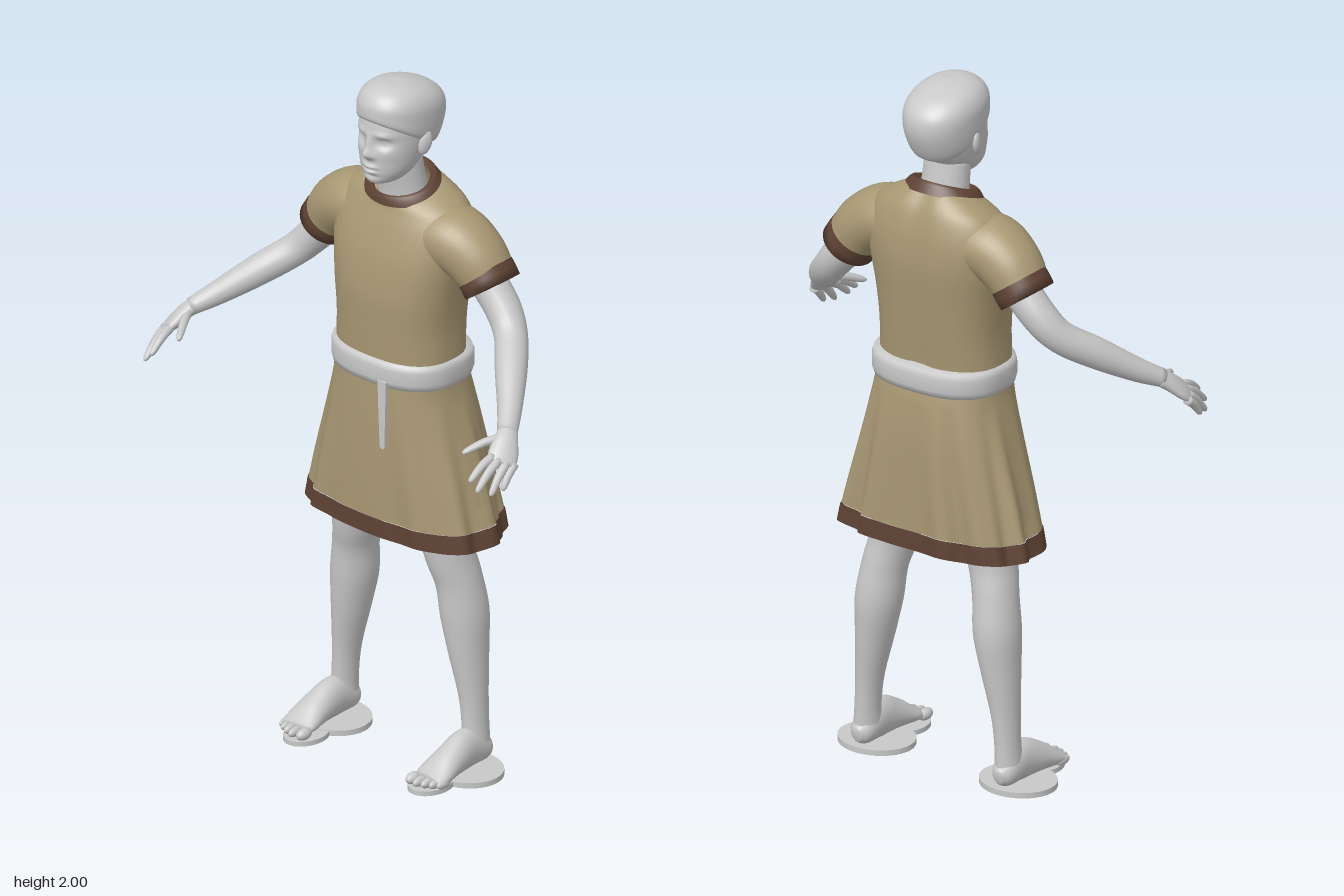
import * as THREE from 'three';

const mat = (name, color, side = THREE.FrontSide) => {
  const m = new THREE.MeshStandardMaterial({ color, side });
  m.name = name;
  return m;
};

// Smooth interpolation through rows of numbers
function smoothRows(rows, steps) {
  const out = [], n = rows.length - 1;
  for (let i = 0; i < n; i++) {
    for (let s = 0; s < steps; s++) {
      const t = s / steps;
      out.push(rows[i].map((b, q) => {
        const c = rows[i + 1][q];
        const a = i > 0 ? rows[i - 1][q] : 2 * b - c;
        const d = i + 2 <= n ? rows[i + 2][q] : 2 * c - b;
        return 0.5 * (2 * b + (c - a) * t + (2 * a - 5 * b + 4 * c - d) * t * t
          + (3 * b - a - 3 * c + d) * t * t * t);
      }));
    }
  }
  out.push(rows[n]);
  return out;
}

// Skin a list of closed rings (arrays of Vector3), optionally capped
function skin(rings, caps) {
  const n = rings[0].length, pos = [], idx = [];
  rings.forEach(r => r.forEach(p => pos.push(p.x, p.y, p.z)));
  for (let i = 0; i < rings.length - 1; i++) {
    for (let j = 0; j < n; j++) {
      const a = i * n + j, b = i * n + (j + 1) % n;
      idx.push(a, b, a + n, b, b + n, a + n);
    }
  }
  if (caps) {
    [0, rings.length - 1].forEach((i, end) => {
      const c = new THREE.Vector3();
      rings[i].forEach(p => c.addScaledVector(p, 1 / n));
      const k = pos.length / 3;
      pos.push(c.x, c.y, c.z);
      for (let j = 0; j < n; j++) {
        const a = i * n + j, b = i * n + (j + 1) % n;
        if (end) idx.push(a, b, k); else idx.push(b, a, k);
      }
    });
  }
  const g = new THREE.BufferGeometry();
  g.setAttribute('position', new THREE.Float32BufferAttribute(pos, 3));
  g.setIndex(idx);
  g.computeVertexNormals();
  return g;
}

const power = (v, e) => Math.sign(v) * Math.pow(Math.abs(v), 2 / e);

// Upright form; rows: [y, zFront, zBack, halfWidth, squareness, frontLift]
function stack(rows, { n = 56, steps = 5, caps = false, warp } = {}) {
  return skin(smoothRows(rows, steps).map(([y, zf, zb, w, e, k]) =>
    Array.from({ length: n }, (_, j) => {
      const a = j / n * Math.PI * 2, c = power(Math.cos(a), e);
      const p = new THREE.Vector3(w * power(Math.sin(a), e), y + k * c, (zf + zb) / 2 + (zf - zb) / 2 * c);
      if (warp) warp(p, a);
      return p;
    })), caps);
}

// Limb along a path; rows: [x, y, z, radiusAlongRef, otherRadius]
function limb(rows, ref, { n = 20, steps = 5, caps = true } = {}) {
  const pts = smoothRows(rows, steps), P = pts.map(r => new THREE.Vector3(r[0], r[1], r[2]));
  const R = new THREE.Vector3(...ref);
  return skin(pts.map((r, i) => {
    const t = P[Math.min(i + 1, P.length - 1)].clone().sub(P[Math.max(i - 1, 0)]).normalize();
    const u = R.clone().addScaledVector(t, -R.dot(t)).normalize();
    const v = t.clone().cross(u);
    return Array.from({ length: n }, (_, j) => {
      const a = j / n * Math.PI * 2;
      return P[i].clone().addScaledVector(u, r[3] * Math.cos(a)).addScaledVector(v, r[4] * Math.sin(a));
    });
  }), caps);
}

function ellipsoid(x, y, z, rx, ry, rz) {
  return new THREE.SphereGeometry(1, 20, 14).scale(rx, ry, rz).translate(x, y, z);
}

function mirrored(g) {
  const m = g.clone().scale(-1, 1, 1), ix = m.index.array;
  for (let i = 0; i < ix.length; i += 3) [ix[i], ix[i + 1]] = [ix[i + 1], ix[i]];
  m.computeVertexNormals();
  return m;
}

export function createModel() {
  const group = new THREE.Group();
  const grey = mat('pale grey', 0xc8c8c8);
  const cloth = mat('tan cloth', 0xa89873, THREE.DoubleSide);
  const trim = mat('brown trim', 0x5e4234, THREE.DoubleSide);
  const add = (name, g, m = grey) => {
    const mesh = new THREE.Mesh(g, m);
    mesh.name = name;
    group.add(mesh);
  };
  const pair = (name, g, m) => {
    add(name + 'Left', g, m);
    add(name + 'Right', mirrored(g), m);
  };

  // Face relief: [|x|, y, depth, spreadX, spreadY]
  const relief = [
    [0, 1.818, 0.022, 0.013, 0.015], [0, 1.845, 0.012, 0.01, 0.025], [0.015, 1.812, 0.006, 0.008, 0.008],
    [0.04, 1.85, -0.014, 0.02, 0.013], [0.04, 1.85, 0.006, 0.012, 0.006], [0.038, 1.874, 0.006, 0.026, 0.008],
    [0, 1.779, 0.009, 0.024, 0.006], [0, 1.764, 0.009, 0.02, 0.006], [0, 1.7715, -0.005, 0.026, 0.003],
    [0, 1.75, -0.005, 0.025, 0.006], [0.05, 1.82, 0.004, 0.02, 0.02],
  ];
  add('head', stack([
    [1.718, 0.005, -0.07, 0.02, 2, 0], [1.73, 0.028, -0.1, 0.045, 2, 0], [1.76, 0.034, -0.13, 0.069, 2.1, 0],
    [1.80, 0.034, -0.165, 0.082, 2.2, 0], [1.85, 0.032, -0.19, 0.09, 2.2, 0], [1.90, 0.028, -0.2, 0.091, 2.2, 0],
    [1.94, 0.012, -0.19, 0.08, 2.1, 0], [1.965, -0.02, -0.16, 0.05, 2, 0],
  ], {
    n: 128, steps: 9, caps: true, warp: p => {
      if (p.z < -0.04) return;
      for (const [x, y, d, sx, sy] of relief)
        p.z += d * Math.exp(-(((Math.abs(p.x) - x) / sx) ** 2) - ((p.y - y) / sy) ** 2);
    },
  }));
  add('hair', stack([
    [1.845, 0.024, -0.165, 0.088, 2.1, 0.06], [1.86, 0.034, -0.195, 0.098, 2.2, 0.055],
    [1.90, 0.036, -0.224, 0.102, 2.2, 0.03], [1.94, 0.032, -0.222, 0.1, 2.2, 0.016],
    [1.972, 0.012, -0.19, 0.083, 2.1, 0.01], [1.992, -0.025, -0.14, 0.05, 2, 0.006], [2.0, -0.07, -0.09, 0.008, 2, 0],
  ], { caps: true }));
  pair('ear', ellipsoid(0, 0, 0, 0.011, 0.034, 0.02).rotateX(-0.25).rotateY(-0.35).translate(0.095, 1.835, -0.085));
  add('neck', limb([[0, 1.62, -0.11, 0.078, 0.062], [0, 1.69, -0.1, 0.07, 0.057], [0, 1.78, -0.085, 0.066, 0.057]], [1, 0, 0]));

  // Tunic
  add('tunicBody', stack([
    [1.13, 0.036, -0.225, 0.183, 2.5, 0], [1.2, 0.036, -0.226, 0.184, 2.5, 0], [1.3, 0.04, -0.235, 0.181, 2.5, 0],
    [1.4, 0.042, -0.243, 0.19, 2.5, 0], [1.5, 0.028, -0.25, 0.205, 2.5, 0], [1.58, 0.004, -0.245, 0.212, 2.4, 0],
    [1.64, -0.015, -0.228, 0.19, 2.2, -0.01], [1.672, -0.022, -0.205, 0.142, 2.1, -0.02], [1.69, -0.027, -0.185, 0.1, 2, -0.028],
  ], { warp: p => { p.z += p.z < -0.15 ? 0.012 * Math.exp(-((p.x / 0.03) ** 2)) : 0; } }), cloth);
  add('collar', stack([
    [1.675, -0.012, -0.2, 0.118, 2, -0.028], [1.69, -0.015, -0.19, 0.107, 2, -0.028],
    [1.704, -0.022, -0.178, 0.092, 2, -0.028], [1.692, -0.032, -0.165, 0.08, 2, -0.028],
  ], { steps: 2 }), trim);
  pair('sleeve', limb([
    [0.08, 1.565, -0.12, 0.1, 0.08], [0.17, 1.565, -0.12, 0.1, 0.089],
    [0.235, 1.53, -0.125, 0.09, 0.085], [0.275, 1.485, -0.13, 0.08, 0.077],
  ], [0, 0, 1], { n: 36, caps: false }), cloth);
  pair('sleeveHem', limb([
    [0.267, 1.495, -0.13, 0.081, 0.079], [0.28, 1.477, -0.13, 0.083, 0.079],
    [0.296, 1.455, -0.13, 0.083, 0.077], [0.292, 1.46, -0.13, 0.06, 0.058],
  ], [0, 0, 1], { n: 36, steps: 1, caps: false }), trim);

  // Skirt with folds that deepen towards the hem
  const folds = (p, a) => {
    const f = THREE.MathUtils.clamp((1.12 - p.y) / 0.4, 0, 1);
    const d = f * (p.z < -0.11 ? 0.011 : 0.005) * (Math.cos(11 * a + 0.6) + 0.6 * Math.sin(17 * a));
    p.x += d * Math.sin(a);
    p.z += d * Math.cos(a);
    p.y += 0.4 * f * d;
  };
  const skirtOpts = { n: 120, steps: 6, warp: folds };
  add('skirt', stack([
    [0.738, 0.04, -0.262, 0.29, 2.7, 0], [0.85, 0.042, -0.26, 0.263, 2.6, 0],
    [1.0, 0.042, -0.256, 0.223, 2.5, 0], [1.1, 0.04, -0.247, 0.197, 2.5, 0], [1.16, 0.038, -0.235, 0.188, 2.5, 0],
  ], skirtOpts), cloth);
  add('skirtHem', stack([
    [0.685, 0.042, -0.266, 0.304, 2.7, 0], [0.738, 0.042, -0.264, 0.292, 2.7, 0],
  ], skirtOpts), trim);

  // Belt with hanging end
  add('belt', stack([
    [1.138, 0.03, -0.22, 0.178, 2.5, 0], [1.142, 0.047, -0.25, 0.193, 2.5, 0], [1.16, 0.051, -0.256, 0.198, 2.5, 0],
    [1.195, 0.051, -0.256, 0.198, 2.5, 0], [1.211, 0.047, -0.25, 0.193, 2.5, 0], [1.215, 0.03, -0.22, 0.178, 2.5, 0],
  ], { steps: 1, n: 72 }));
  const end = new THREE.Shape([[0.046, 1.16], [0.054, 0.965], [0.062, 0.958], [0.071, 0.965], [0.076, 1.16]]
    .map(([x, y]) => new THREE.Vector2(x, y)));
  add('beltEnd', new THREE.ExtrudeGeometry(end, { depth: 0.009, bevelEnabled: false }).translate(0, 0, 0.044));

  // Arms and hands
  pair('arm', limb([
    [0.25, 1.495, -0.13, 0.052, 0.052], [0.33, 1.41, -0.128, 0.05, 0.049], [0.385, 1.35, -0.102, 0.046, 0.045],
    [0.45, 1.295, -0.03, 0.044, 0.043], [0.52, 1.235, 0.055, 0.034, 0.033], [0.565, 1.2, 0.115, 0.028, 0.024],
  ], [0.052, -0.025, -0.04]));
  pair('palm', limb([
    [0.56, 1.204, 0.106, 0.027, 0.022], [0.575, 1.185, 0.132, 0.034, 0.021],
    [0.59, 1.16, 0.16, 0.041, 0.018], [0.6, 1.142, 0.182, 0.038, 0.012],
  ], [0.052, -0.025, -0.04]));
  const fingers = {
    littleFinger: [[0.62, 1.137, 0.15], [0.625, 1.08, 0.203]], ringFinger: [[0.609, 1.144, 0.168], [0.615, 1.074, 0.24]],
    middleFinger: [[0.592, 1.152, 0.18], [0.592, 1.088, 0.27]], indexFinger: [[0.576, 1.16, 0.186], [0.568, 1.112, 0.272]],
    thumb: [[0.562, 1.19, 0.13], [0.506, 1.162, 0.23]],
  };
  for (const [name, [a, b]] of Object.entries(fingers)) {
    const at = (t, r, lift) => [...a.map((v, i) => v + (b[i] - v) * t + (i === 1 ? lift : 0)), r, r];
    pair(name, limb([at(0, 0.013, 0), at(0.45, 0.012, 0.007), at(0.88, 0.009, 0.002), at(1, 0.004, 0)], [1, 0.2, 0], { n: 10, steps: 3 }));
  }

  // Legs and feet
  pair('leg', limb([
    [0.1, 1.0, -0.1, 0.09, 0.095], [0.125, 0.85, -0.1, 0.085, 0.09], [0.16, 0.65, -0.103, 0.066, 0.074],
    [0.183, 0.55, -0.12, 0.061, 0.068], [0.196, 0.45, -0.13, 0.063, 0.071], [0.208, 0.35, -0.131, 0.052, 0.062],
    [0.225, 0.22, -0.132, 0.037, 0.046], [0.232, 0.13, -0.132, 0.033, 0.042], [0.235, 0.06, -0.13, 0.036, 0.045],
  ], [1, 0, 0], { n: 28 }));
  pair('foot', limb([
    [0.235, 0.048, -0.18, 0.014, 0.018], [0.235, 0.052, -0.155, 0.035, 0.038], [0.235, 0.07, -0.09, 0.039, 0.058],
    [0.237, 0.057, -0.02, 0.046, 0.044], [0.237, 0.038, 0.04, 0.053, 0.025], [0.235, 0.032, 0.068, 0.046, 0.016],
  ], [1, 0, 0], { n: 28 }));
  [[0.195, 0.076, 0.016], [0.222, 0.08, 0.011], [0.244, 0.073, 0.011], [0.264, 0.063, 0.01], [0.281, 0.05, 0.01]]
    .forEach(([x, z, r], i) => pair('toe' + (i + 1), ellipsoid(x, 0.03, z, r, r * 0.6 + 0.007, 0.027)));

  // Flat stands under the feet: a broad heel disc and a small toe lobe
  const disc = (x, z, rx, rz, h) => new THREE.CylinderGeometry(1, 1, h, 40).scale(rx, 1, rz).translate(x, h / 2, z);
  pair('heelStand', disc(0.235, -0.088, 0.11, 0.097, 0.016));
  pair('toeStand', disc(0.222, 0.035, 0.055, 0.072, 0.014));
  return group;
}
